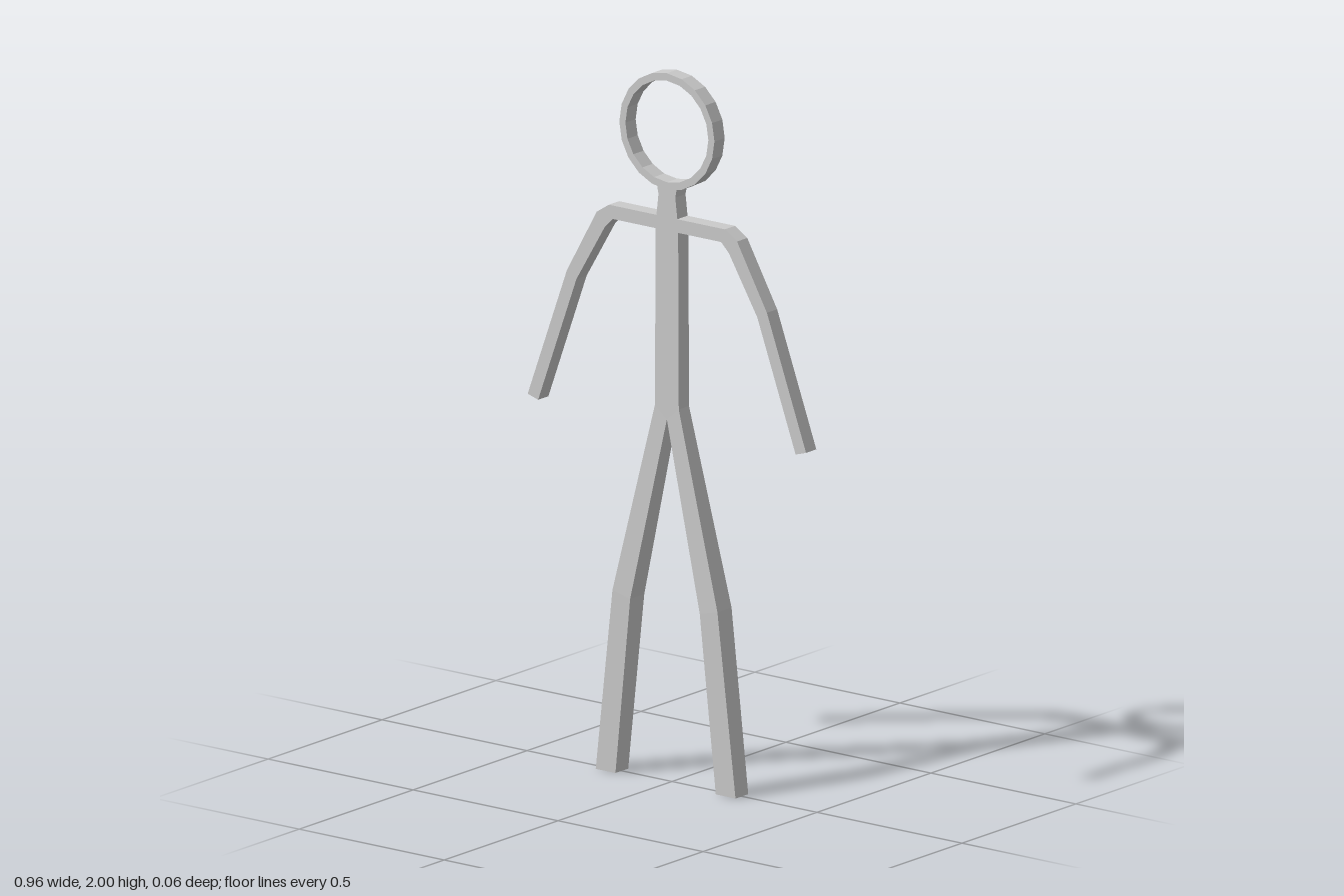
import * as THREE from 'three';

const material = new THREE.MeshStandardMaterial({ color: 0xcccccc, flatShading: true });
const HALF = 0.0225;

// Four-sided bar through sections [outerX, outerY, innerX, innerY, halfDepth]; side -1 mirrors it
function bar(name, sections, side) {
  const positions = [];
  const index = [];
  for (const [ox, oy, ix, iy, d] of sections) {
    positions.push(side * ox, oy, d, side * ix, iy, d, side * ix, iy, -d, side * ox, oy, -d);
  }
  const quad = (a, b, c, d) => {
    if (side > 0) index.push(a, b, c, a, c, d);
    else index.push(a, c, b, a, d, c);
  };
  const last = (sections.length - 1) * 4;
  for (let s = 0; s < last; s += 4) {
    for (let k = 0; k < 4; k++) {
      const n = (k + 1) % 4;
      quad(s + k, s + n, s + 4 + n, s + 4 + k);
    }
  }
  quad(3, 2, 1, 0);
  quad(last, last + 1, last + 2, last + 3);
  const indexed = new THREE.BufferGeometry();
  indexed.setAttribute('position', new THREE.Float32BufferAttribute(positions, 3));
  indexed.setIndex(index);
  const geometry = indexed.toNonIndexed();
  geometry.computeVertexNormals();
  const mesh = new THREE.Mesh(geometry, material);
  mesh.name = name;
  return mesh;
}

// Flat outline given the common thickness
function slab(name, shape, curveSegments = 8) {
  const geometry = new THREE.ExtrudeGeometry(shape, { depth: 2 * HALF, bevelEnabled: false, curveSegments });
  geometry.translate(0, 0, -HALF);
  const mesh = new THREE.Mesh(geometry, material);
  mesh.name = name;
  return mesh;
}

export function createModel() {
  const figure = new THREE.Group();
  figure.name = 'stickFigure';

  // Head: an open faceted ring
  const ring = new THREE.Shape().absarc(0, 1.836, 0.164, 0, Math.PI * 2, false);
  ring.holes.push(new THREE.Path().absarc(0, 1.836, 0.143, 0, Math.PI * 2, true));
  figure.add(slab('head', ring, 10));

  // Neck and torso, ending in a point at the crotch
  const half = [[0.041, 1.06], [0.039, 1.56], [0.036, 1.595], [0.029, 1.655], [0.034, 1.68]];
  const outline = [[0, 1.025], ...half, ...half.map(([x, y]) => [-x, y]).reverse()];
  figure.add(slab('torso', new THREE.Shape(outline.map(([x, y]) => new THREE.Vector2(x, y)))));

  const arm = [
    [0.03, 1.595, 0.03, 1.557, HALF],
    [0.2, 1.595, 0.187, 1.557, HALF],
    [0.242, 1.568, 0.214, 1.53, HALF],
    [0.345, 1.385, 0.312, 1.366, HALF],
    [0.48, 1.014, 0.444, 1.003, HALF],
  ];
  const leg = [
    [0.041, 1.06, 0, 1.025, HALF],
    [0.181, 0.515, 0.12, 0.5, 0.031],
    [0.241, 0, 0.173, 0, 0.028],
  ];
  for (const [label, side] of [['left', 1], ['right', -1]]) {
    figure.add(bar(label + 'Arm', arm, side), bar(label + 'Leg', leg, side));
  }
  return figure;
}
